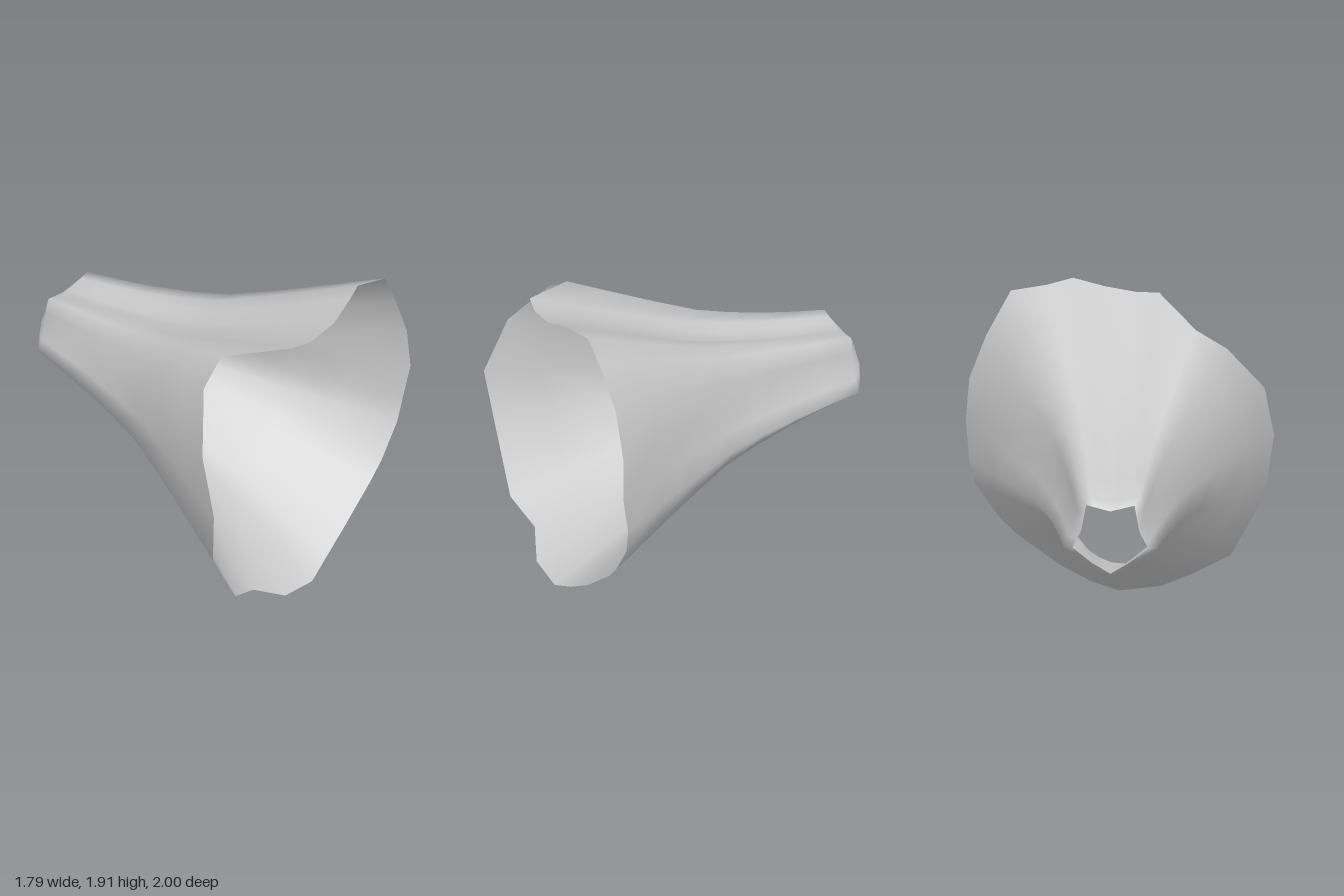
import * as THREE from 'three';

// Wide ragged rim, counter-clockwise: x, y, z
const RIM = [
  [0.89, 1.05, 0.9], [0.87, 1.31, 0.89], [0.77, 1.58, 0.89], [0.63, 1.84, 0.93],
  [0.42, 1.89, 0.9], [0.27, 1.91, 0.97], [0.09, 1.85, 1.0], [-0.1, 1.82, 0.99],
  [-0.23, 1.83, 0.96], [-0.46, 1.73, 0.61], [-0.64, 1.61, 0.63], [-0.85, 1.31, 0.8],
  [-0.9, 0.97, 0.93], [-0.85, 0.61, 0.88], [-0.65, 0.24, 0.88], [-0.43, 0.14, 0.83],
  [-0.24, 0.03, 0.91], [0, 0, 0.91], [0.15, 0.06, 0.88], [0.34, 0.17, 0.86],
  [0.6, 0.37, 0.85], [0.69, 0.46, 0.85], [0.83, 0.66, 0.85], [0.87, 0.82, 0.86],
];
// Small five-lobed opening: rim column it leads to, x, y, z
const NECK = [
  [1, 0.14, 1.07, -0.99], [3, 0.11, 1.22, -0.96], [6, -0.03, 1.19, -0.98],
  [9, -0.17, 1.22, -0.96], [11, -0.2, 1.07, -0.99], [13, -0.25, 0.96, -0.97],
  [14, -0.14, 0.88, -1.0], [16, -0.03, 0.8, -0.97], [20, 0.08, 0.88, -1.0],
  [23, 0.19, 0.96, -0.97],
];
// Narrow inward folds: depth by column
const FOLDS = { 0: 0.2, 1: 0.7, 2: 0.2, 6: 0.3, 14: 0.8, 15: 0.4, 19: 0.2, 20: 1 };
const CENTRE = [-0.03, 1.01];
const N = RIM.length;
const { lerp } = THREE.MathUtils;

// Opening point that belongs to a rim column
function neckAt(column) {
  let k = NECK.findIndex((p) => p[0] > column);
  if (k < 0) k = 0;
  const p = NECK[(k + NECK.length - 1) % NECK.length], q = NECK[k];
  const t = ((column - p[0] + N) % N) / ((q[0] - p[0] + N) % N);
  return [1, 2, 3].map((i) => lerp(p[i], q[i], t));
}

export function createModel() {
  // Rows along the body: distance, flare
  const rows = [[0, 0], [0.12, 0.06], [0.24, 0.13], [0.38, 0.23],
    [0.51, 0.345], [0.67, 0.55], [0.84, 0.78], [1, 1]];
  const positions = [], index = [];
  const neck = RIM.map((_, i) => neckAt(i));

  // Inward-turned lip of the small opening
  for (const point of neck) positions.push(...point);

  // Flaring body, with folds that fade out towards the rim
  for (const [u, s] of rows) {
    const fade = 1.5 * (1 - u) * Math.sin(Math.PI * u);
    neck.forEach(([x, y], i) => {
      const dent = 1 - 0.12 * (FOLDS[i] ?? 0) * fade;
      const [rx, ry, rz] = RIM[i];
      positions.push(
        CENTRE[0] + lerp((x - CENTRE[0]) * 1.24, rx - CENTRE[0], s) * dent,
        CENTRE[1] + lerp((y - CENTRE[1]) * 1.24, ry - CENTRE[1], s) * dent,
        lerp(-0.93, rz, u),
      );
    });
  }
  for (let j = 0; j < rows.length; j++) {
    for (let i = 0; i < N; i++) {
      const a = j * N + i, b = j * N + (i + 1) % N;
      index.push(a, b, a + N, b, b + N, a + N);
    }
  }
  const geometry = new THREE.BufferGeometry();
  geometry.setAttribute('position', new THREE.Float32BufferAttribute(positions, 3));
  geometry.setIndex(index);
  geometry.computeVertexNormals();

  const funnel = new THREE.Mesh(geometry,
    new THREE.MeshStandardMaterial({ color: 0xcccccc, side: THREE.DoubleSide }));
  funnel.name = 'flaredFunnel';
  const group = new THREE.Group();
  group.name = 'openFunnel';
  group.add(funnel);
  return group;
}
